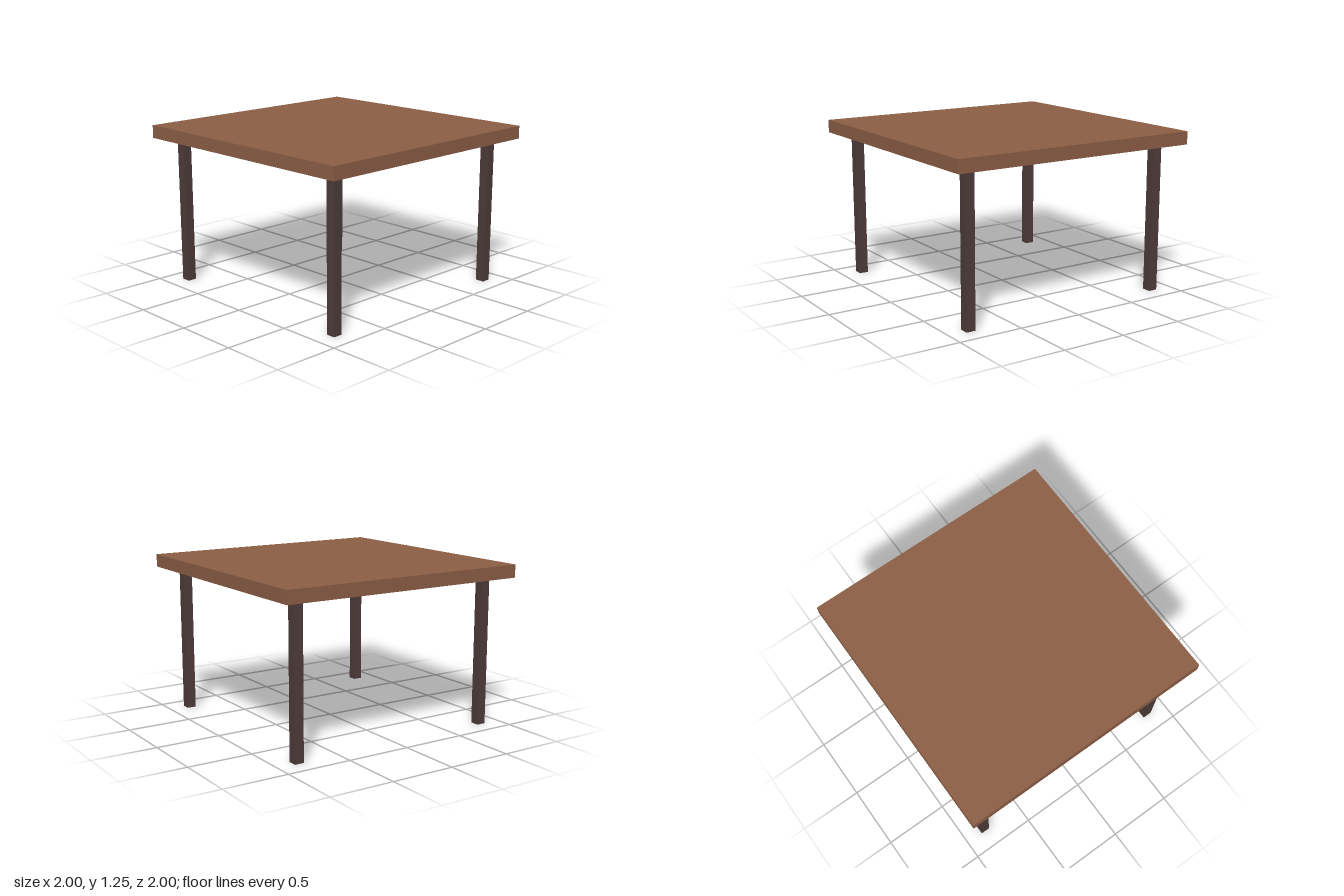
import * as THREE from 'three';

const TOP_Y = 1.25, TOP_THICKNESS = 0.1;
const LEG_HEIGHT = TOP_Y - TOP_THICKNESS, LEG_WIDTH = 0.072, LEG_OFFSET = 0.83;

export function createModel() {
  const table = new THREE.Group();
  table.name = 'table';

  const topMaterial = new THREE.MeshStandardMaterial({ color: 0x8b5e45 });
  const legMaterial = new THREE.MeshStandardMaterial({ color: 0x4e3b3b });

  // Square slab
  const top = new THREE.Mesh(new THREE.BoxGeometry(2, TOP_THICKNESS, 2), topMaterial);
  top.name = 'tableTop';
  top.position.y = TOP_Y - TOP_THICKNESS / 2;
  table.add(top);

  // Four square legs, inset from the corners
  const legGeometry = new THREE.BoxGeometry(LEG_WIDTH, LEG_HEIGHT, LEG_WIDTH);
  for (const [zName, z] of [['front', 1], ['back', -1]]) {
    for (const [xName, x] of [['Left', 1], ['Right', -1]]) {
      const leg = new THREE.Mesh(legGeometry, legMaterial);
      leg.name = `${zName}${xName}Leg`;
      leg.position.set(x * LEG_OFFSET, LEG_HEIGHT / 2, z * LEG_OFFSET);
      table.add(leg);
    }
  }
  return table;
}
